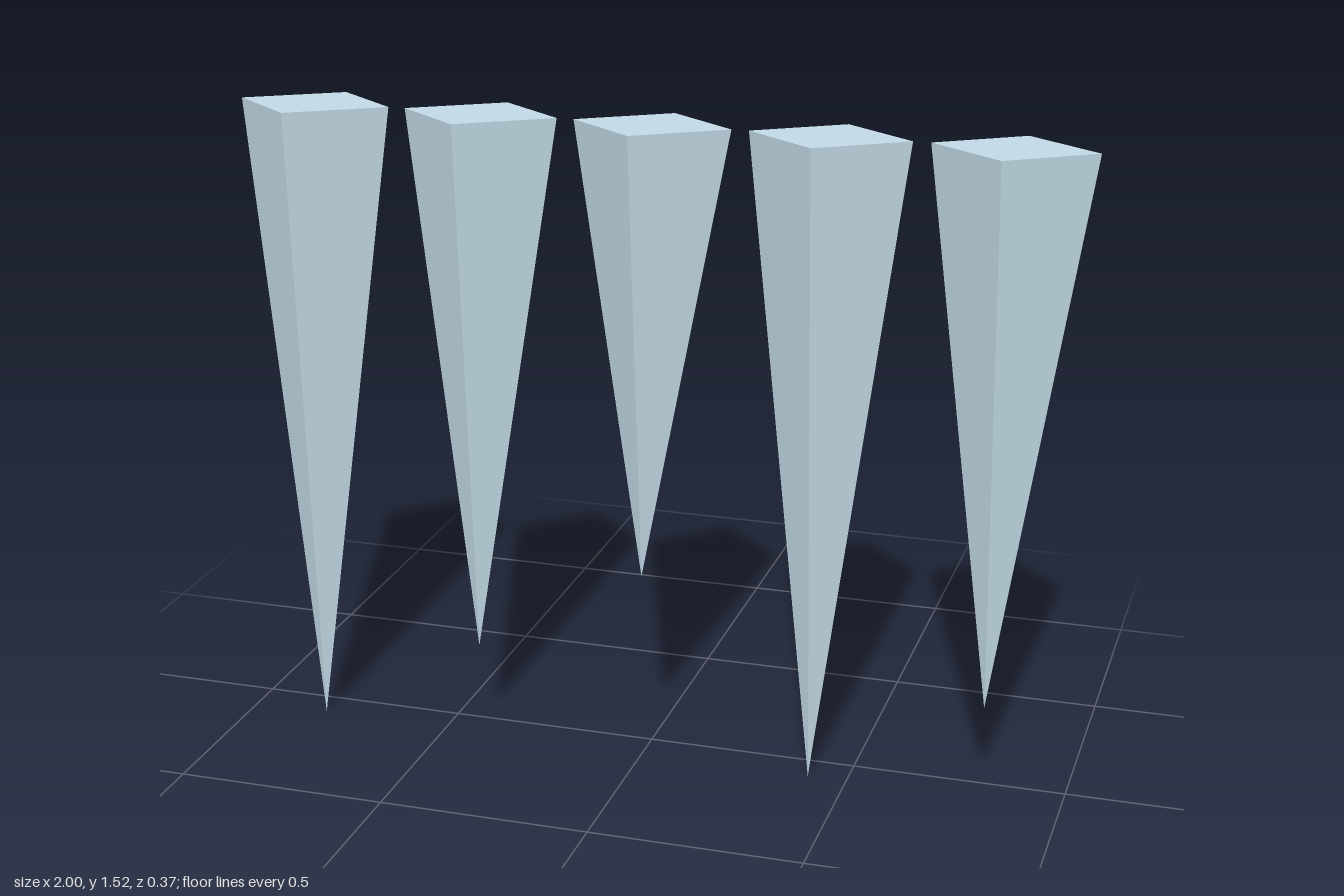
import * as THREE from 'three';

const RADIUS = 0.184, SPACING = 0.408, TOP = 1.512;
const TIP_Z = 0.083;    // tips lean forward
const TOP_SLOPE = 0.068; // top faces rise towards the front

// Four-sided spike hanging point-down, with a slightly tilted flat top
function spikeGeometry(tipY) {
  const cone = new THREE.ConeGeometry(RADIUS, 1, 4).rotateX(Math.PI).toNonIndexed();
  const pos = cone.attributes.position;
  for (let i = 0; i < pos.count; i++) {
    const z = pos.getZ(i);
    if (pos.getY(i) < 0) pos.setXYZ(i, 0, tipY, TIP_Z);
    else pos.setY(i, TOP + TOP_SLOPE * z);
  }
  cone.computeVertexNormals();
  return cone;
}

export function createModel() {
  const group = new THREE.Group();
  group.name = 'spikeRow';
  const material = new THREE.MeshStandardMaterial({ color: 0xc4dce8, flatShading: true });

  // Row of spikes of differing lengths, from right to left
  [0, 0.23, 0.457, 0, 0.23].forEach((tipY, i) => {
    const spike = new THREE.Mesh(spikeGeometry(tipY), material);
    spike.name = `spike${i + 1}`;
    spike.position.x = (i - 2) * SPACING;
    group.add(spike);
  });
  return group;
}
